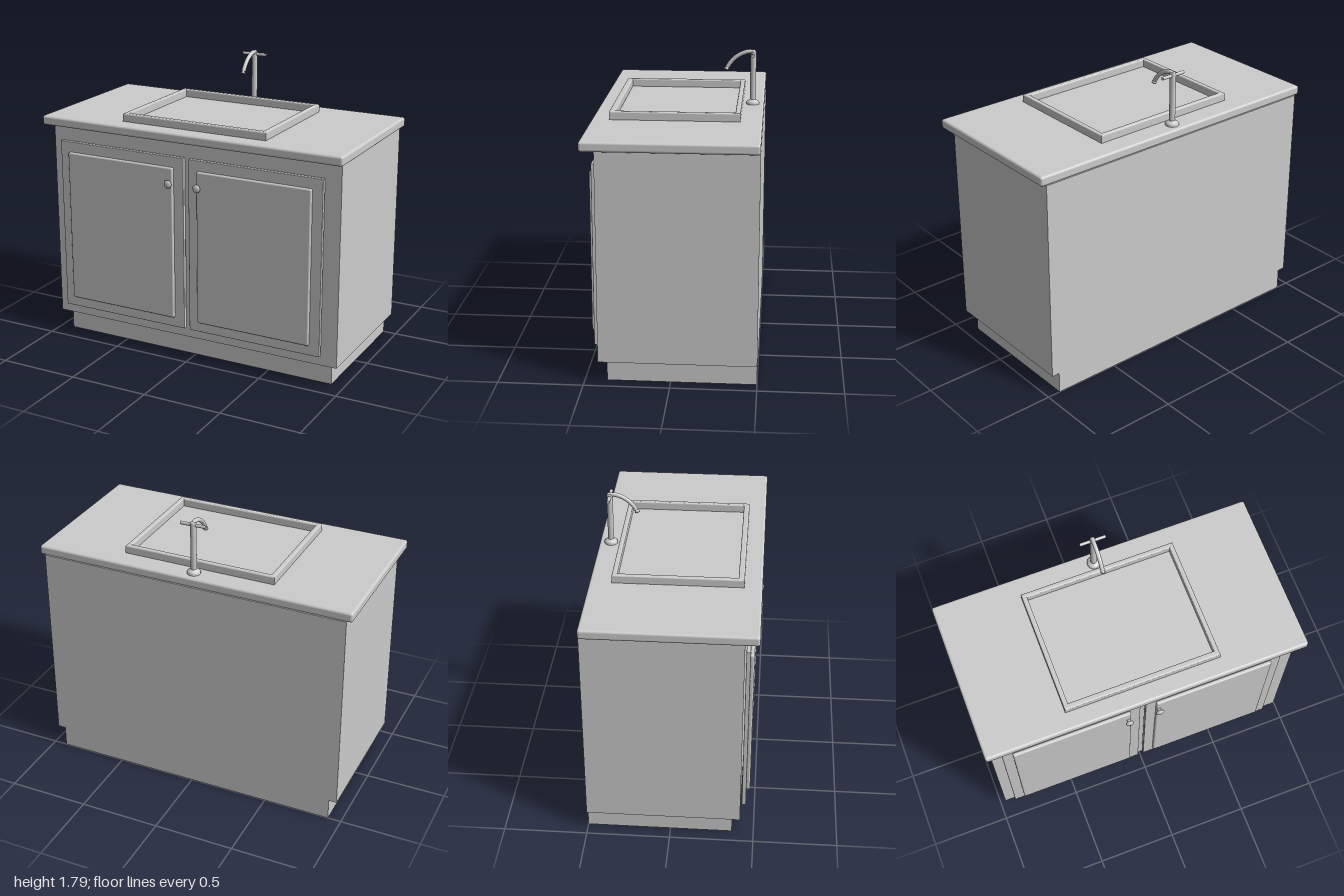
import * as THREE from 'three';
import { RoundedBoxGeometry } from 'three/addons/geometries/RoundedBoxGeometry.js';

const material = new THREE.MeshStandardMaterial({ color: 0xcccccc });

function add(parent, name, geometry, x = 0, y = 0, z = 0) {
  const mesh = new THREE.Mesh(geometry, material);
  mesh.name = name;
  mesh.position.set(x, y, z);
  parent.add(mesh);
  return mesh;
}

// Box given by its limits; a radius rounds its edges
function block(parent, name, [x0, x1], [y0, y1], [z0, z1], radius = 0) {
  const size = [x1 - x0, y1 - y0, z1 - z0];
  const geometry = radius
    ? new RoundedBoxGeometry(...size, 3, radius)
    : new THREE.BoxGeometry(...size);
  return add(parent, name, geometry, (x0 + x1) / 2, (y0 + y1) / 2, (z0 + z1) / 2);
}

const lathe = (points, segments = 24) =>
  new THREE.LatheGeometry(points.map(([r, y]) => new THREE.Vector2(r, y)), segments);

function rectangle(Type, x0, x1, y0, y1) {
  const path = new Type();
  path.moveTo(x0, y0);
  path.lineTo(x1, y0);
  path.lineTo(x1, y1);
  path.lineTo(x0, y1);
  path.closePath();
  return path;
}

// Door slab with a raised panel and a round knob
function createDoor(name, x, knobX) {
  const door = new THREE.Group();
  door.name = name;
  block(door, 'doorSlab', [x, x + 0.867], [0.197, 1.29], [0.425, 0.45], 0.003);
  block(door, 'raisedPanel', [x + 0.063, x + 0.803], [0.262, 1.226], [0.445, 0.471], 0.01);
  const knob = add(door, 'knob', lathe([
    [0.012, -0.01], [0.012, 0.006], [0.01, 0.012], [0.022, 0.017],
    [0.026, 0.023], [0.023, 0.029], [0.013, 0.034], [0, 0.035],
  ]), knobX, 1.13, 0.47);
  knob.rotation.x = Math.PI / 2;
  return door;
}

// Raised frame around the basin
function createSinkRim() {
  const shape = rectangle(THREE.Shape, -0.48, 0.48, -0.395, 0.37);
  shape.holes.push(rectangle(THREE.Path, -0.45, 0.45, -0.36, 0.34));
  const bevel = 0.008;
  const geometry = new THREE.ExtrudeGeometry(shape, {
    depth: 0.055 - 2 * bevel, bevelThickness: bevel, bevelSize: bevel,
    bevelOffset: -bevel, bevelSegments: 3,
  });
  geometry.rotateX(-Math.PI / 2);
  geometry.translate(0, 1.445 + bevel, 0);
  return geometry;
}

function createFaucet() {
  const faucet = new THREE.Group();
  faucet.name = 'faucet';
  faucet.position.set(0, 1.45, -0.43);

  // Foot and column
  add(faucet, 'faucetFoot', lathe([
    [0.04, 0], [0.04, 0.012], [0.035, 0.019], [0.024, 0.024], [0.018, 0.03],
  ]));
  add(faucet, 'faucetColumn', lathe([
    [0.018, 0.02], [0.018, 0.322], [0.015, 0.328], [0, 0.328],
  ]));

  // Cross handle
  const handle = add(faucet, 'crossHandle',
    new THREE.CylinderGeometry(0.01, 0.01, 0.16, 16), 0, 0.31, 0);
  handle.rotation.z = Math.PI / 2;

  // Arched spout with a flared nozzle
  const curve = new THREE.CatmullRomCurve3([
    [-0.01, 0.322], [0.03, 0.324], [0.075, 0.309], [0.115, 0.282], [0.145, 0.248], [0.157, 0.228],
  ].map(([z, y]) => new THREE.Vector3(0, y, z)));
  add(faucet, 'spout', new THREE.TubeGeometry(curve, 24, 0.013, 14));
  const nozzle = add(faucet, 'nozzle', lathe([
    [0, -0.014], [0.015, -0.014], [0.014, -0.007], [0.008, 0], [0.009, 0.012], [0, 0.014],
  ], 16), 0, 0.226, 0.159);
  nozzle.rotation.x = -0.4;
  return faucet;
}

export function createModel() {
  const model = new THREE.Group();
  model.name = 'sinkCabinet';

  // Cabinet and worktop
  block(model, 'toeKick', [-0.917, 0.917], [0, 0.135], [-0.5, 0.37]);
  block(model, 'cabinet', [-0.966, 0.966], [0.133, 1.392], [-0.5, 0.418]);
  block(model, 'worktop', [-1, 1], [1.391, 1.45], [-0.5, 0.5], 0.015);

  // Doors
  model.add(createDoor('rightDoor', -0.902, -0.117));
  model.add(createDoor('leftDoor', 0, 0.077));

  // Sink and faucet
  add(model, 'sinkRim', createSinkRim());
  model.add(createFaucet());
  return model;
}
